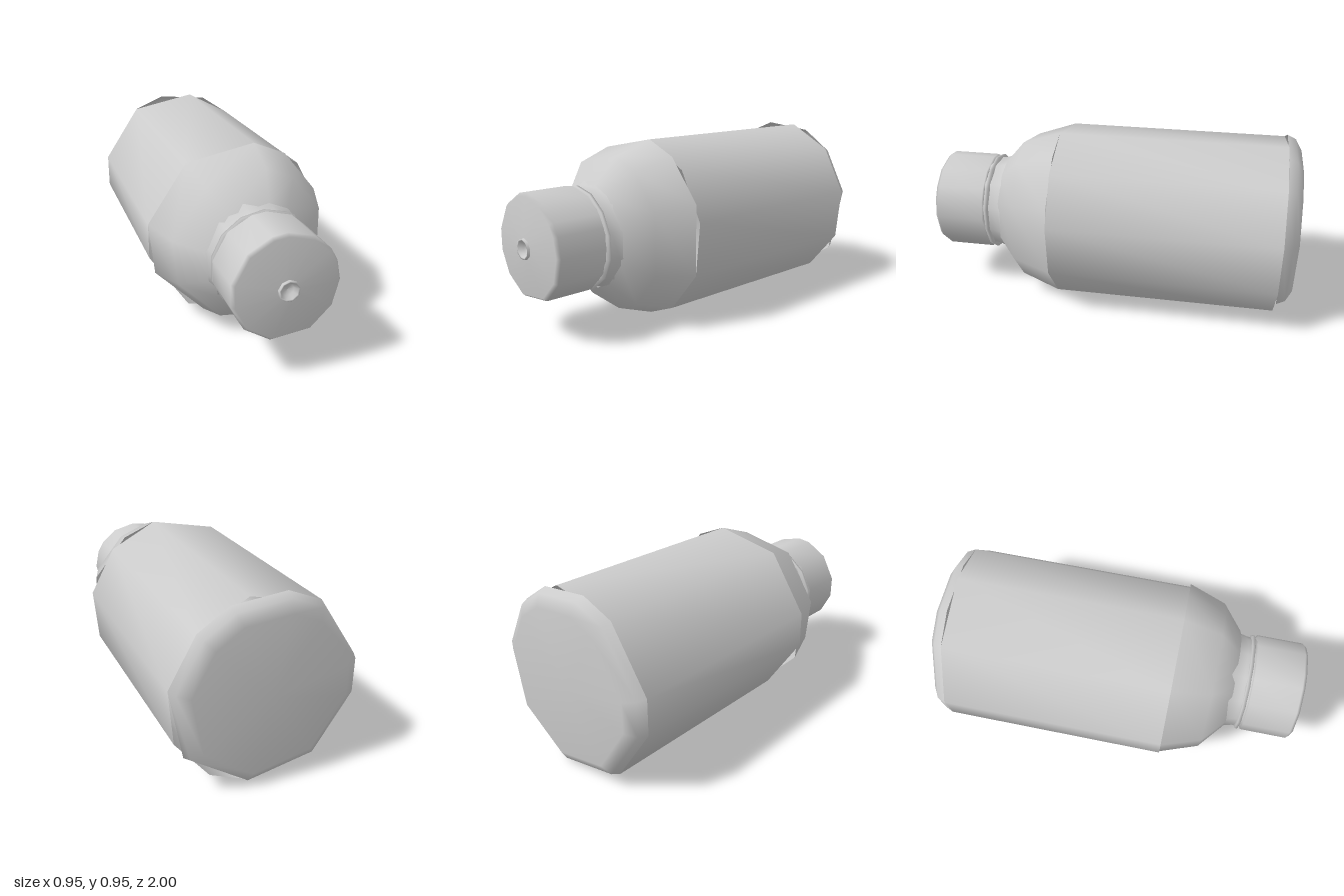
import * as THREE from 'three';

const AXIS_Y = 0.48;
const material = new THREE.MeshStandardMaterial({ color: 0xcccccc, side: THREE.DoubleSide });

// Skins rings of [radius, z] (back to front) around the z axis, with corners at the given angles.
function loft(name, profile, degrees) {
  const n = degrees.length;
  const positions = [];
  const index = [];
  profile.forEach(([r, z], i) => {
    degrees.forEach((deg, j) => {
      const a = THREE.MathUtils.degToRad(deg);
      positions.push(r * Math.cos(a), r * Math.sin(a), z);
      if (i === profile.length - 1) return;
      const next = (j + 1) % n;
      const p = i * n + j, q = i * n + next;
      index.push(p, q, q + n, p, q + n, p + n);
    });
  });
  const geometry = new THREE.BufferGeometry();
  geometry.setAttribute('position', new THREE.Float32BufferAttribute(positions, 3));
  geometry.setIndex(index);
  geometry.computeVertexNormals();
  const mesh = new THREE.Mesh(geometry, material);
  mesh.name = name;
  return mesh;
}

const evenAngles = (count, start = 0) => Array.from({ length: count }, (_, i) => start + (i * 360) / count);

export function createModel() {
  const bottle = new THREE.Group();
  bottle.name = 'bottle';
  bottle.position.y = AXIS_Y;

  // Uneven low-poly corners of each section
  const baseAngles = [11.25, 45, 67.5, 101.25, 123.75, 168.75, 191.25, 236.25, 281.25, 326.25];
  const bodyAngles = [11.25, 45, 78.75, 123.75, 168.75, 191.25, 236.25, 281.25, 303.75, 337.5];
  const shoulderAngles = [22.5, 56.25, 78.75, 123.75, 168.75, 202.5, 247.5, 281.25, 303.75, 337.5];
  const capAngles = [0, 22, 37, 61, 90, 106, 135, 168, 193, 222, 255, 299, 331];

  bottle.add(
    // Rounded bottom of the bottle
    loft('base', [[0, -1], [0.405, -1], [0.465, -0.965], [0.486, -0.92]], baseAngles),
    // Long straight side wall
    loft('body', [[0.486, -0.92], [0.486, 0.28]], bodyAngles),
    // Domed shoulder narrowing to the neck
    loft('shoulder', [[0.486, 0.28], [0.412, 0.49], [0.275, 0.605]], shoulderAngles),
    // Flared neck and its thin collar
    loft('neck', [[0.285, 0.575], [0.265, 0.61], [0.255, 0.65], [0.255, 0.72]], evenAngles(12, 15)),
    loft('collar', [[0.245, 0.665], [0.27, 0.67], [0.27, 0.685], [0.245, 0.69]], evenAngles(14, 90)),
    // Cap: side wall running into the gently coned front face
    loft('cap', [[0.25, 0.695], [0.27, 0.7], [0.27, 0.955], [0.255, 0.972], [0.05, 0.987]], capAngles),
    // Small raised spout with a hollow centre
    loft('spout', [[0.055, 0.98], [0.052, 1], [0.044, 0.998], [0.03, 0.975], [0, 0.97]], evenAngles(9, 10))
  );

  const model = new THREE.Group();
  model.name = 'lyingBottle';
  model.add(bottle);
  return model;
}
